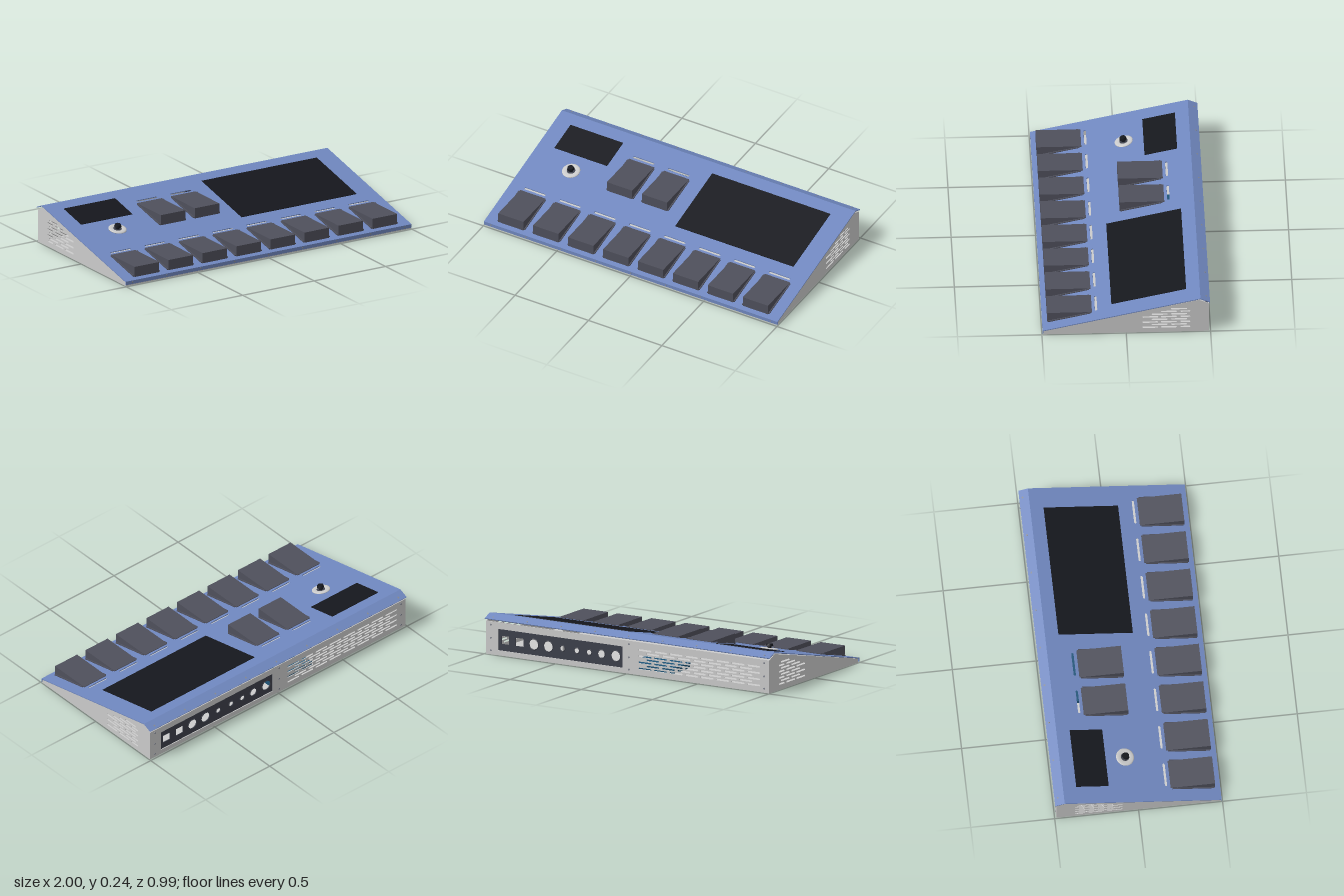
import * as THREE from 'three';

const mat = (color) => new THREE.MeshStandardMaterial({ color, side: THREE.DoubleSide });
const grey = mat(0xcccccc), blue = mat(0x7088c0), dark = mat(0x4f505c);
const black = mat(0x15171d), teal = mat(0x1f5578), plateGrey = mat(0x3d404b), steel = mat(0x888c96);

// The sloping top runs from the front lip to the rear ridge
const FRONT = 0.495, LIP = 0.03, RIDGE_Z = -0.44, RIDGE_Y = 0.24, T = 0.005;
const SLOPE = Math.atan2(RIDGE_Y - LIP, FRONT - RIDGE_Z);
const along = (z) => (FRONT - z) / Math.cos(SLOPE);

function add(parent, name, geometry, material, x = 0, y = 0, z = 0) {
  const mesh = new THREE.Mesh(geometry, material);
  mesh.name = name;
  mesh.position.set(x, y, z);
  parent.add(mesh);
  return mesh;
}
const box = (w, h, d) => new THREE.BoxGeometry(w, h, d);
const polygon = (pts) => new THREE.Shape(pts.map(([x, y]) => new THREE.Vector2(x, y)));
const rect = (x0, y0, x1, y1) => polygon([[x0, y0], [x1, y0], [x1, y1], [x0, y1]]);
const extrude = (shape, depth) =>
  new THREE.ExtrudeGeometry(shape, { depth, bevelEnabled: false, curveSegments: 8 });

// Rounded slot spanning x0..x1, centred on y
function slot(x0, x1, y, h) {
  const r = h / 2, p = new THREE.Path();
  p.moveTo(x0 + r, y - r);
  p.lineTo(x1 - r, y - r);
  p.absarc(x1 - r, y, r, -Math.PI / 2, Math.PI / 2, false);
  p.lineTo(x0 + r, y + r);
  p.absarc(x0 + r, y, r, Math.PI / 2, Math.PI * 1.5, false);
  return p;
}
const circle = (x, y, r) => new THREE.Path().absarc(x, y, r, 0, Math.PI * 2, false);

// Side sections are drawn with x = -z and extruded across the width
function section(parent, name, shape, x0, width, material, y = 0, z = 0) {
  const mesh = add(parent, name, extrude(shape, width), material, x0, y, z);
  mesh.rotation.y = Math.PI / 2;
  return mesh;
}

// Screw head facing along its group's +z
function screw(parent, x, y, z, r = 0.006) {
  const s = add(parent, 'screw', new THREE.CylinderGeometry(r, r, 0.004, 10), steel, x, y, z);
  s.rotation.x = Math.PI / 2;
}

function sideWall(parent, name, x0) {
  const shape = polygon([[-0.49, 0], [0.49, 0], [0.49, 0.2], [0.43, 0.228], [-0.49, 0.025]]);
  const wide = [[0.095, 0.19], [0.205, 0.3], [0.32, 0.38]];
  const narrow = [[0.15, 0.245], [0.265, 0.36]];
  for (let row = 0; row < 8; row++) {
    let spans = row % 2 ? narrow : wide;
    if (row === 6) spans = wide.slice(1);
    if (row === 7) spans = narrow.slice(1);
    spans.forEach(([a, b]) => shape.holes.push(slot(a, b, 0.035 + row * 0.0188, 0.01)));
  }
  section(parent, name, shape, x0, T, grey);
}

function backPanel(parent) {
  const wall = rect(-0.99, 0, 0.99, 0.2);
  wall.holes.push(rect(0.036, 0.03, 0.91, 0.16));
  for (let row = 0; row < 7; row++) {
    const odd = row % 2;
    for (let i = 0; i < 8 - odd; i++) {
      const x = -0.93 + odd * 0.054 + i * 0.109;
      wall.holes.push(slot(x, x + 0.09, 0.04 + row * 0.0188, 0.01));
    }
  }
  add(parent, 'backWall', extrude(wall, T), grey, 0, 0, -0.49);

  // Connector plate: two square sockets, then round ones of mixed size
  const plate = rect(0.03, 0.025, 0.916, 0.165), y = 0.095;
  [0.863, 0.763].forEach((x) => plate.holes.push(rect(x - 0.027, y - 0.025, x + 0.027, y + 0.025)));
  [[0.662, 0.033], [0.56, 0.033], [0.46, 0.018], [0.36, 0.018], [0.273, 0.018], [0.187, 0.026], [0.086, 0.033]]
    .forEach(([x, r]) => {
      plate.holes.push(circle(x, y, r));
      add(parent, 'socketRim', new THREE.TorusGeometry(r, 0.003, 6, 20), plateGrey, x, y, -0.485);
    });
  add(parent, 'connectorPlate', extrude(plate, T), plateGrey, 0, 0, -0.485);

  for (const x of [-0.96, -0.01, 0.96])
    for (const sy of [0.025, 0.1, 0.18]) screw(parent, x, sy, -0.491);
}

export function createModel() {
  const model = new THREE.Group();
  model.name = 'footController';

  // Lower tray
  const tray = new THREE.Group();
  tray.name = 'tray';
  model.add(tray);
  add(tray, 'floor', box(1.99, T, 0.98), grey, 0, T / 2, 0);
  add(tray, 'frontWall', box(1.98, 0.024, T), grey, 0, 0.012, 0.4875);
  sideWall(tray, 'leftWall', 0.99);
  sideWall(tray, 'rightWall', -0.995);
  backPanel(tray);
  for (let i = 0; i < 8; i++)
    for (let j = 0; j < 4; j++)
      add(tray, 'floorRivet', new THREE.CylinderGeometry(0.005, 0.005, 0.002, 8), steel,
        -0.875 + i * 0.25, 0.001, -0.4 + j * 0.27);

  // Inner parts glimpsed through the vents
  add(model, 'circuitBoard', box(0.32, 0.032, 0.18), teal, -0.14, 0.044, -0.36);
  section(model, 'innerBracket',
    polygon([[0.08, T], [0.262, T], [0.262, 0.19], [0.08, 0.145]]), 0.6, T, grey);

  // Pedal positions: a front row of eight and two behind
  const pedals = [];
  for (let i = 0; i < 8; i++) pedals.push([-0.833 + i * 0.238, 0.465]);
  pedals.push([-0.357, 0], [-0.119, 0]);

  // Sloping cover, in its own plane: x across, y up the slope, z outwards
  const cover = new THREE.Group();
  cover.name = 'cover';
  cover.position.set(0, LIP, FRONT);
  cover.rotation.x = SLOPE - Math.PI / 2;
  model.add(cover);
  const top = rect(-1, 0, 1, along(RIDGE_Z));
  pedals.forEach(([x, z]) => top.holes.push(slot(x - 0.072, x + 0.072, along(z - 0.29), 0.015)));
  add(cover, 'topPanel', extrude(top, T), blue, 0, 0, -T);

  // Displays
  const display = (name, x0, x1, z0, z1) => add(cover, name,
    box(x1 - x0, along(z0) - along(z1), 0.004), black, (x0 + x1) / 2, along((z0 + z1) / 2), 0.001);
  display('largeDisplay', 0.07, 0.875, -0.36, 0.083);
  display('smallDisplay', -0.895, -0.537, -0.36, -0.167);

  // Joystick with washer
  const stick = new THREE.Group();
  stick.name = 'joystick';
  stick.position.set(-0.715, along(-0.05), 0);
  stick.rotation.x = Math.PI / 2;
  cover.add(stick);
  const ring = [[0.024, 0], [0.055, 0], [0.055, 0.003], [0.048, 0.007], [0.03, 0.007], [0.024, 0.003]];
  add(stick, 'washer', new THREE.LatheGeometry(ring.map((p) => new THREE.Vector2(...p)), 28), grey);
  add(stick, 'stickBase', new THREE.CylinderGeometry(0.026, 0.026, 0.004, 20), plateGrey, 0, 0.002, 0);
  add(stick, 'stickShaft', new THREE.CylinderGeometry(0.011, 0.013, 0.02, 16), black, 0, 0.012, 0);
  add(stick, 'stickCap', new THREE.CylinderGeometry(0.018, 0.022, 0.014, 20), black, 0, 0.026, 0);

  // Front lip and folded rear flange
  add(model, 'frontLip', box(2, LIP - 0.008, T), blue, 0, (LIP + 0.008) / 2, FRONT - T / 2);
  const flange = new THREE.Group();
  flange.name = 'rearFlange';
  flange.position.set(0, RIDGE_Y, RIDGE_Z);
  flange.rotation.x = -Math.PI / 2 - Math.atan2(0.025, 0.057);
  model.add(flange);
  add(flange, 'flangeStrip', box(2, 0.062, T), blue, 0, 0.031, -T / 2);
  for (let i = 0; i < 9; i++) {
    const x = -0.952 + i * 0.238;
    screw(flange, x, 0.04, -0.001);
    screw(model, x, 0.02, FRONT - 0.001, 0.005);
  }

  // Wedge pedals, level on top, each in a thin surround
  const tan = Math.tan(SLOPE), y0 = LIP + tan * (FRONT - 0.465);
  const wedge = polygon([[-0.465, y0 - 0.003], [-0.2, 0.093], [-0.2, 0.1], [-0.465, 0.1]]);
  const rim = polygon([[-0.46, y0 - 0.004], [-0.21, 0.09], [-0.21, 0.099], [-0.46, y0 + 0.008]]);
  pedals.forEach(([x, z]) => {
    const dz = z - 0.465, dy = -dz * tan;
    section(model, 'pedal', wedge, x - 0.086, 0.172, dark, dy, dz);
    section(model, 'pedalSurround', rim, x - 0.093, 0.186, dark, dy, dz);
  });

  return model;
}
